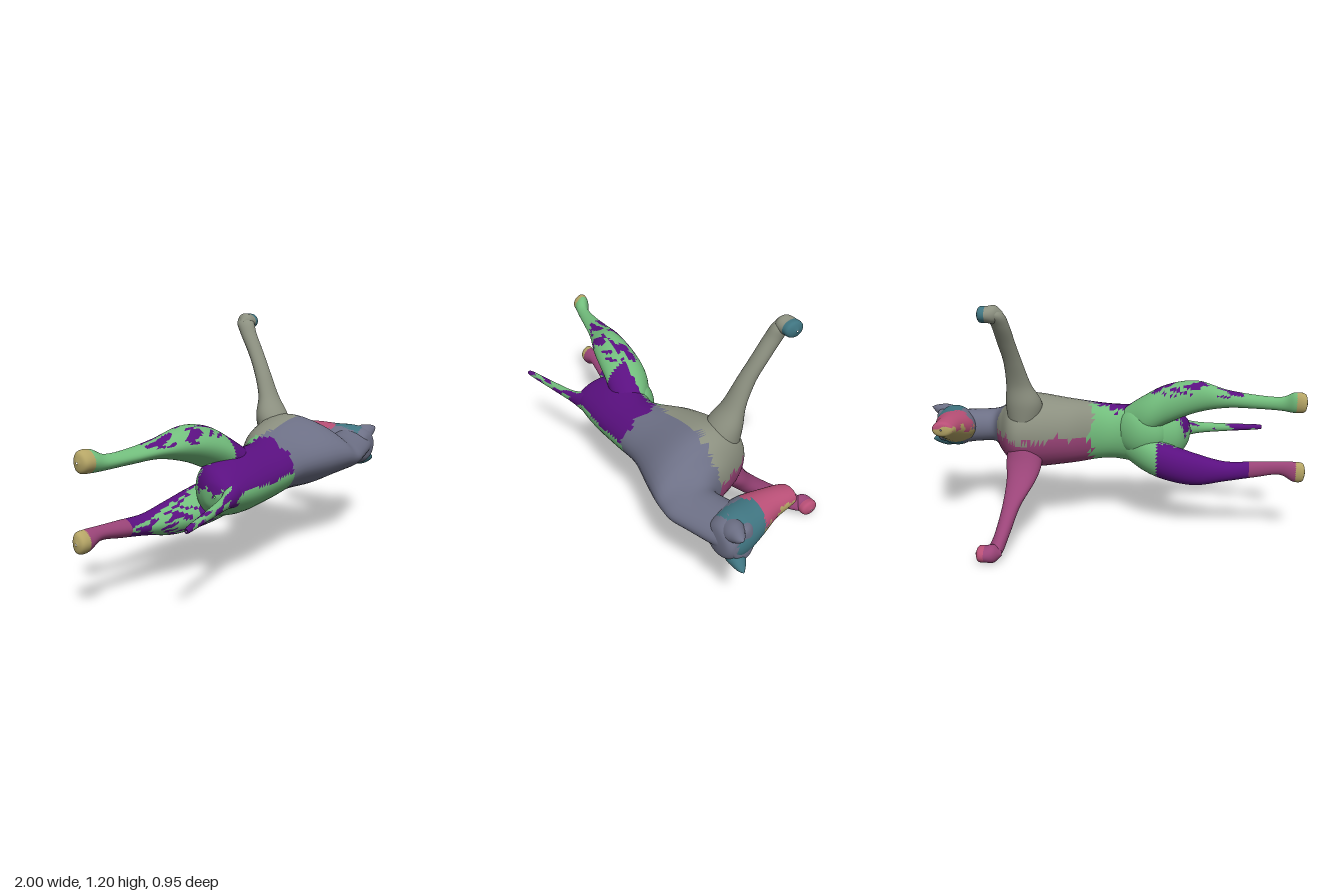
import * as THREE from 'three';

const palette = {
  slate: 0x6d7086, olive: 0x8c9080, magenta: 0x9a4478, purple: 0x5a1080,
  green: 0x72bd7c, teal: 0x3f7480, pink: 0xb84f76, yellow: 0xb5a566,
};
const names = Object.keys(palette);

// Loft along axis k (0 x, 1 y, 2 z) through stations [x, y, z, ra, rb], listed in
// ascending order; ra and rb lie along the next two axes in cyclic order.
// paint(x, y, z) returns a palette name, egg narrows the +b side.
function loft(name, k, stations, paint, egg = 0) {
  const sides = 36, rows = (stations.length - 1) * 9;
  const curve = (f) => new THREE.CatmullRomCurve3(stations.map(f), false, 'catmullrom', 0.5);
  const centres = curve((s) => new THREE.Vector3(s[0], s[1], s[2]));
  const radii = curve((s) => new THREE.Vector3(s[3], s[4], 0));
  const pos = [];
  for (let i = 0; i <= rows; i++) {
    const c = centres.getPoint(i / rows).toArray();
    const r = radii.getPoint(i / rows);
    for (let j = 0; j < sides; j++) {
      const t = (j / sides) * Math.PI * 2, p = c.slice();
      p[(k + 1) % 3] += Math.max(r.x, 0.002) * Math.cos(t) * (1 - egg * Math.sin(t));
      p[(k + 2) % 3] += Math.max(r.y, 0.002) * Math.sin(t);
      pos.push(...p);
    }
  }
  // Sort faces into one group per colour
  const faces = names.map(() => []);
  for (let i = 0; i < rows; i++) {
    for (let j = 0; j < sides; j++) {
      const a = i * sides + j, b = i * sides + ((j + 1) % sides), c = a + sides, d = b + sides;
      for (const f of [[a, b, c], [b, d, c]]) {
        const mid = [0, 1, 2].map((n) => (pos[f[0] * 3 + n] + pos[f[1] * 3 + n] + pos[f[2] * 3 + n]) / 3);
        faces[names.indexOf(paint(...mid))].push(...f);
      }
    }
  }
  const geo = new THREE.BufferGeometry();
  geo.setAttribute('position', new THREE.Float32BufferAttribute(pos, 3));
  geo.setIndex(faces.flat());
  geo.computeVertexNormals();
  const mats = [];
  let start = 0;
  faces.forEach((f, n) => {
    if (!f.length) return;
    geo.addGroup(start, f.length, mats.length);
    mats.push(new THREE.MeshStandardMaterial({ color: palette[names[n]] }));
    start += f.length;
  });
  const mesh = new THREE.Mesh(geo, mats);
  mesh.name = name;
  return mesh;
}

// Irregular blotches
const spot = (x, y, z) =>
  Math.sin(47 * x + 9 * Math.sin(31 * y)) + Math.sin(53 * y + 6 * Math.sin(37 * z)) + Math.sin(61 * z + 23 * x);

export function createModel() {
  const g = new THREE.Group();
  const edge = (x, y, z) => 0.01 * spot(x, y, z);

  // Trunk and neck, back towards +z
  g.add(loft('body', 0, [
    [-0.43, 0.475, 0.29, 0.005, 0.005],
    [-0.41, 0.475, 0.28, 0.065, 0.08],
    [-0.35, 0.475, 0.25, 0.115, 0.13],
    [-0.2, 0.475, 0.235, 0.148, 0.155],
    [0, 0.483, 0.25, 0.142, 0.14],
    [0.2, 0.498, 0.197, 0.165, 0.197],
    [0.4, 0.505, 0.193, 0.187, 0.252],
    [0.5, 0.5, 0.215, 0.165, 0.253],
    [0.57, 0.482, 0.28, 0.118, 0.192],
    [0.63, 0.475, 0.345, 0.088, 0.126],
    [0.72, 0.475, 0.33, 0.084, 0.116],
    [0.82, 0.475, 0.3, 0.088, 0.117],
    [0.9, 0.475, 0.3, 0.085, 0.09],
    [0.95, 0.472, 0.315, 0.075, 0.055],
    [0.955, 0.472, 0.32, 0.005, 0.005],
  ], (x, y, z) => {
    const e = edge(x, y, z);
    if (x + e < 0.09) return y + e > 0.49 && z + e > 0.17 ? 'purple' : 'green';
    if (z + e > 0.19 || x > 0.6) return 'slate';
    return y + e > 0.49 ? 'olive' : 'magenta';
  }, 0.25));
  g.add(loft('groin', 0, [
    [-0.34, 0.49, 0.18, 0.005, 0.005], [-0.27, 0.49, 0.15, 0.09, 0.07],
    [-0.17, 0.5, 0.13, 0.12, 0.075], [-0.08, 0.5, 0.155, 0.1, 0.06], [0, 0.5, 0.2, 0.01, 0.01],
  ], () => 'green'));

  // Head, muzzle towards -z
  g.add(loft('head', 2, [
    [0.85, 0.535, -0.025, 0.004, 0.004],
    [0.848, 0.534, -0.015, 0.048, 0.034],
    [0.843, 0.53, 0.02, 0.062, 0.047],
    [0.835, 0.515, 0.1, 0.076, 0.068],
    [0.835, 0.493, 0.2, 0.108, 0.09],
    [0.848, 0.475, 0.28, 0.112, 0.11],
    [0.86, 0.472, 0.34, 0.1, 0.102],
    [0.86, 0.472, 0.385, 0.075, 0.07],
    [0.85, 0.472, 0.4, 0.004, 0.004],
  ], (x, y, z) => {
    const e = edge(x, y, z);
    if (z + e < 0.19) return y + e > 0.515 + 0.02 * Math.sign(0.1 - z) ? 'pink' : 'yellow';
    return z + e < 0.35 && x > 0.8 ? 'teal' : 'slate';
  }));

  // Pointed ears growing out of the skull
  for (const [side, label, z] of [[1, 'upperEar', 0.35], [-1, 'lowerEar', 0.338]]) {
    const y = side > 0 ? 0.472 : 0.462;
    g.add(loft(label, 0, [
      [0.84, y + side * 0.045, z - 0.03, 0.05, 0.05],
      [0.9, y + side * 0.056, z - 0.02, 0.052, 0.052],
      [0.94, y + side * 0.068, z - 0.01, 0.038, 0.038],
      [0.975, y + side * 0.078, z, 0.02, 0.022],
      [1, y + side * 0.086, z + 0.006, 0.002, 0.002],
    ], () => (side > 0 ? 'slate' : 'teal')));
  }

  // Front legs, with paws turned towards the head
  const fore = (name, tint, stations) => g.add(loft(name, 1, stations, () => tint));
  fore('upperFrontLeg', 'olive', [
    [0.43, 0.54, 0.065, 0.1, 0.08],
    [0.425, 0.67, 0.032, 0.085, 0.092],
    [0.443, 0.78, -0.008, 0.05, 0.062],
    [0.458, 0.9, -0.06, 0.042, 0.046],
    [0.475, 1.0, -0.115, 0.041, 0.043],
    [0.49, 1.1, -0.176, 0.045, 0.042],
    [0.507, 1.16, -0.208, 0.046, 0.04],
    [0.52, 1.2, -0.218, 0.004, 0.004],
  ]);
  fore('lowerFrontLeg', 'magenta', [
    [0.525, 0.003, -0.42, 0.004, 0.004],
    [0.513, 0.035, -0.402, 0.05, 0.038],
    [0.487, 0.1, -0.322, 0.073, 0.037],
    [0.462, 0.2, -0.192, 0.07, 0.045],
    [0.43, 0.3, -0.075, 0.068, 0.075],
    [0.425, 0.38, -0.002, 0.078, 0.092],
    [0.43, 0.48, 0.06, 0.1, 0.08],
  ]);
  for (const [label, y, z, tint] of [['upperFrontPaw', 1.16, -0.218, 'teal'], ['lowerFrontPaw', 0.046, -0.428, 'pink']]) {
    g.add(loft(label, 0, [
      [0.47, y, z + 0.012, 0.01, 0.01], [0.505, y, z + 0.005, 0.042, 0.044],
      [0.545, y, z, 0.039, 0.05], [0.578, y, z, 0.036, 0.044], [0.594, y, z, 0.004, 0.004],
    ], (x) => (x > 0.55 ? tint : label[0] === 'u' ? 'olive' : 'magenta')));
  }

  // Hind legs stretched back, paws included
  g.add(loft('upperHindLeg', 0, [
    [-0.995, 0.705, 0.02, 0.004, 0.004],
    [-0.98, 0.705, 0.025, 0.045, 0.038],
    [-0.93, 0.703, 0.037, 0.05, 0.04],
    [-0.87, 0.69, 0.06, 0.034, 0.031],
    [-0.75, 0.692, 0.083, 0.034, 0.04],
    [-0.6, 0.7, 0.108, 0.045, 0.06],
    [-0.45, 0.7, 0.145, 0.081, 0.082],
    [-0.3, 0.655, 0.158, 0.1, 0.1],
    [-0.18, 0.59, 0.172, 0.1, 0.105],
    [-0.05, 0.54, 0.215, 0.055, 0.06],
  ], (x, y, z) => {
    if (x < -0.94) return 'yellow';
    if (x > -0.24 && z > 0.17) return 'purple';
    return x > -0.68 && y > 0.715 && spot(x, y, z) > 0.3 ? 'purple' : 'green';
  }, 0.22));
  g.add(loft('lowerHindLeg', 0, [
    [-1, 0.352, 0, 0.004, 0.004],
    [-0.985, 0.352, 0, 0.045, 0.034],
    [-0.94, 0.353, 0.005, 0.05, 0.036],
    [-0.87, 0.368, 0.01, 0.033, 0.027],
    [-0.75, 0.355, 0.02, 0.04, 0.035],
    [-0.6, 0.337, 0.033, 0.05, 0.053],
    [-0.45, 0.336, 0.062, 0.081, 0.08],
    [-0.3, 0.362, 0.105, 0.094, 0.105],
    [-0.18, 0.395, 0.148, 0.09, 0.105],
    [-0.05, 0.43, 0.21, 0.055, 0.06],
  ], (x, y, z) => {
    if (x < -0.95) return 'yellow';
    if (x < -0.72) return 'magenta';
    if (x > -0.25) return 'green';
    return z < 0.06 || spot(x, y, z) > 0.4 ? 'purple' : 'green';
  }, 0.22));

  // Tapering tail
  g.add(loft('tail', 0, [
    [-0.82, 0.455, 0.446, 0.003, 0.003],
    [-0.8, 0.457, 0.442, 0.014, 0.013],
    [-0.6, 0.463, 0.4, 0.022, 0.021],
    [-0.45, 0.468, 0.365, 0.034, 0.027],
    [-0.35, 0.475, 0.325, 0.065, 0.055],
  ], (x, y, z) => (spot(x, y, z) > -0.3 ? 'purple' : 'green')));

  return g;
}
